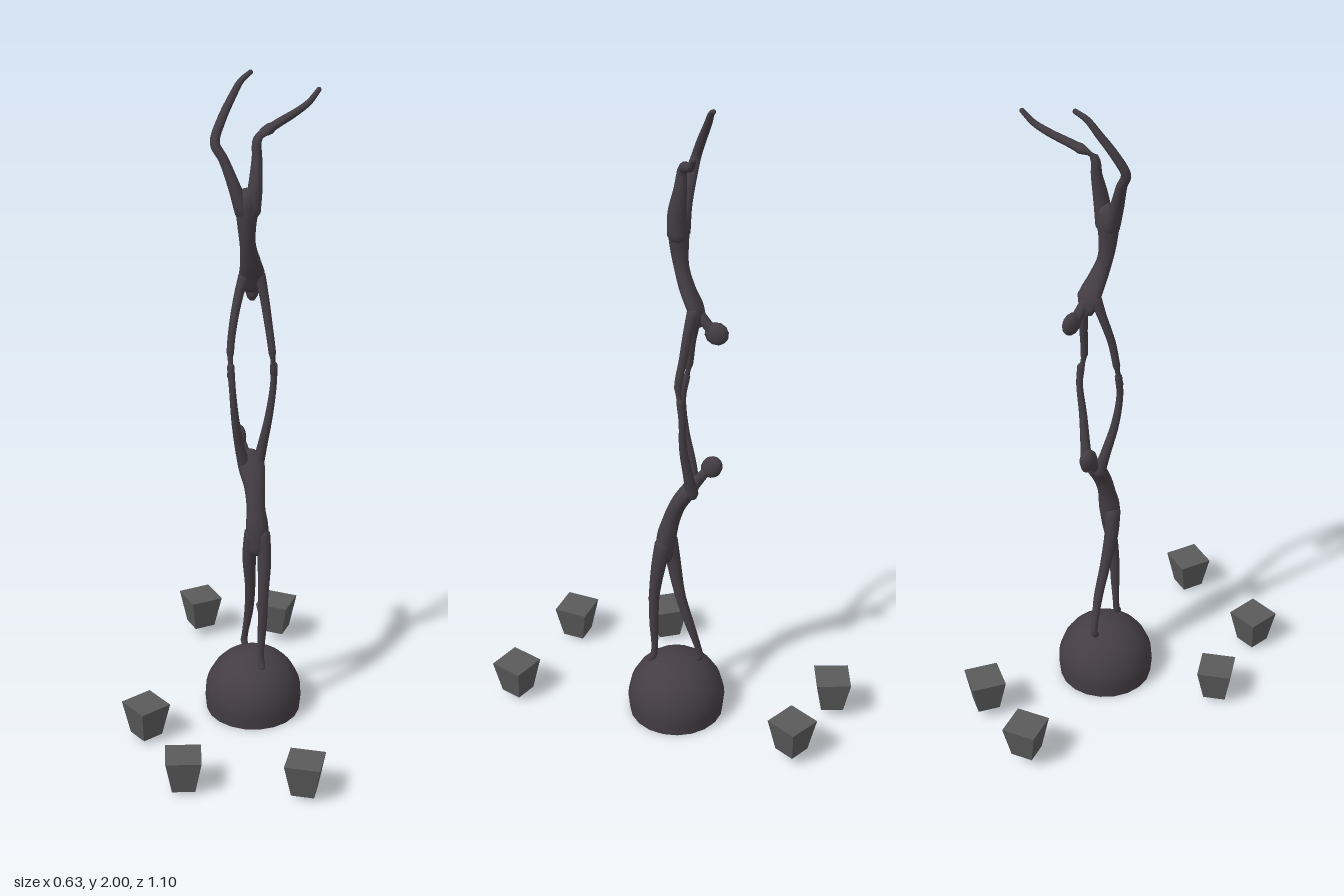
import * as THREE from 'three';

const figureMat = new THREE.MeshStandardMaterial({ color: 0x443e44, side: THREE.DoubleSide });
figureMat.name = 'dark bronze';
const blockMat = new THREE.MeshStandardMaterial({ color: 0x5a5a5a });
blockMat.name = 'grey stone';

// Limb swept through points [x, y, z, halfWidth, halfDepth], closed with rounded ends.
function limb(name, pts, sides = 10) {
  const path = new THREE.CatmullRomCurve3(pts.map(p => new THREE.Vector3(p[0], p[1], p[2])));
  const size = new THREE.CatmullRomCurve3(pts.map(p => new THREE.Vector3(p[3], p[4] ?? p[3], 0)));
  const rings = (pts.length - 1) * 5;
  const pos = [], index = [];
  const xAxis = new THREE.Vector3(1, 0, 0);
  const ring = (u, shrink, shift) => {
    const c = path.getPoint(u), r = size.getPoint(u), t = path.getTangent(u);
    const n = xAxis.clone().addScaledVector(t, -t.x).normalize();
    const b = t.clone().cross(n);
    c.addScaledVector(t, shift * r.x);
    for (let j = 0; j < sides; j++) {
      const a = (j / sides) * Math.PI * 2;
      const v = c.clone().addScaledVector(n, Math.cos(a) * r.x * shrink)
        .addScaledVector(b, Math.sin(a) * r.y * shrink);
      pos.push(v.x, v.y, v.z);
    }
  };
  ring(0, 0.01, -0.8);
  ring(0, 0.7, -0.55);
  for (let i = 0; i <= rings; i++) ring(i / rings, 1, 0);
  ring(1, 0.7, 0.55);
  ring(1, 0.01, 0.8);
  for (let i = 0; i < rings + 4; i++) {
    for (let j = 0; j < sides; j++) {
      const k = (j + 1) % sides;
      const a = i * sides + j, b = i * sides + k, c = a + sides, d = b + sides;
      index.push(a, b, c, b, d, c);
    }
  }
  const geo = new THREE.BufferGeometry();
  geo.setAttribute('position', new THREE.Float32BufferAttribute(pos, 3));
  geo.setIndex(index);
  geo.computeVertexNormals();
  const mesh = new THREE.Mesh(geo, figureMat);
  mesh.name = name;
  return mesh;
}

function head(name, center, radii, tilt, w = 14, h = 10) {
  const mesh = new THREE.Mesh(new THREE.SphereGeometry(1, w, h), figureMat);
  mesh.name = name;
  mesh.position.set(...center);
  mesh.scale.set(...radii);
  mesh.rotation.x = tilt;
  return mesh;
}

// Standing figure with raised arms
function lowerFigure() {
  const g = new THREE.Group();
  g.name = 'standingFigure';
  g.add(
    limb('torso', [
      [0.11, 0.57, 0.018, 0.03, 0.026], [0.109, 0.64, 0.012, 0.034, 0.029],
      [0.107, 0.70, -0.002, 0.028, 0.026], [0.106, 0.76, -0.024, 0.032, 0.025],
      [0.101, 0.81, -0.055, 0.04, 0.024], [0.097, 0.84, -0.074, 0.026, 0.018]]),
    limb('neck', [[0.092, 0.82, -0.065, 0.017], [0.077, 0.87, -0.1, 0.014]]),
    head('head', [0.073, 0.883, -0.115], [0.02, 0.037, 0.031], -0.5),
    limb('frontLeg', [
      [0.126, 0.62, 0.018, 0.022, 0.026], [0.129, 0.54, 0.032, 0.021, 0.022],
      [0.124, 0.42, 0.048, 0.016], [0.122, 0.32, 0.05, 0.014], [0.118, 0.22, 0.05, 0.01],
      [0.119, 0.19, 0.055, 0.011], [0.121, 0.18, 0.064, 0.009]]),
    limb('backLeg', [
      [0.092, 0.62, 0.01, 0.022, 0.026], [0.088, 0.54, -0.002, 0.021, 0.022],
      [0.095, 0.42, -0.026, 0.016], [0.096, 0.32, -0.056, 0.014], [0.088, 0.22, -0.083, 0.01],
      [0.086, 0.195, -0.086, 0.011], [0.087, 0.185, -0.078, 0.01]]),
    limb('rightArm', [
      [0.08, 0.81, -0.062, 0.019], [0.064, 0.88, -0.05, 0.015], [0.047, 0.98, -0.026, 0.012],
      [0.037, 1.08, -0.016, 0.01], [0.033, 1.15, -0.026, 0.011]]),
    limb('leftArm', [
      [0.122, 0.81, -0.07, 0.019], [0.135, 0.88, -0.062, 0.015], [0.152, 0.98, -0.052, 0.012],
      [0.164, 1.08, -0.052, 0.01], [0.163, 1.14, -0.046, 0.011]]));
  return g;
}

// Inverted figure balanced hand to hand
function upperFigure() {
  const g = new THREE.Group();
  g.name = 'handstandFigure';
  g.add(
    limb('torso', [
      [0.1, 1.375, -0.082, 0.028, 0.018], [0.1, 1.41, -0.072, 0.038, 0.022],
      [0.092, 1.46, -0.047, 0.03, 0.022], [0.081, 1.52, -0.026, 0.023, 0.021],
      [0.077, 1.58, -0.018, 0.027, 0.026], [0.078, 1.64, -0.017, 0.034, 0.03],
      [0.08, 1.67, -0.018, 0.026, 0.026]]),
    limb('neck', [[0.104, 1.4, -0.08, 0.016], [0.109, 1.352, -0.122, 0.015]]),
    head('head', [0.11, 1.345, -0.136], [0.02, 0.035, 0.035], 0.7, 10, 6),
    limb('rightLeg', [
      [0.066, 1.62, -0.018, 0.024, 0.028], [0.042, 1.69, -0.02, 0.018, 0.024],
      [0.012, 1.77, -0.032, 0.014, 0.018], [-0.011, 1.815, -0.04, 0.014],
      [0.008, 1.87, -0.06, 0.013], [0.045, 1.935, -0.088, 0.011],
      [0.07, 1.972, -0.103, 0.009], [0.1, 1.993, -0.118, 0.007]]),
    limb('leftLeg', [
      [0.092, 1.62, -0.016, 0.024, 0.028], [0.1, 1.69, -0.018, 0.021, 0.026],
      [0.106, 1.77, -0.03, 0.015, 0.018], [0.109, 1.825, -0.036, 0.013],
      [0.155, 1.852, -0.058, 0.013], [0.225, 1.882, -0.09, 0.011],
      [0.265, 1.905, -0.108, 0.009], [0.295, 1.937, -0.122, 0.007]]),
    limb('rightArm', [
      [0.078, 1.41, -0.07, 0.018], [0.062, 1.36, -0.063, 0.014], [0.042, 1.27, -0.044, 0.012],
      [0.033, 1.19, -0.034, 0.011], [0.033, 1.12, -0.02, 0.011]]),
    limb('leftArm', [
      [0.122, 1.41, -0.072, 0.018], [0.133, 1.36, -0.062, 0.014], [0.146, 1.27, -0.05, 0.012],
      [0.157, 1.18, -0.038, 0.011], [0.164, 1.11, -0.05, 0.011]]));
  return g;
}

// Tapered block, wider at the top
function blockGeometry() {
  const geo = new THREE.BoxGeometry(0.105, 0.106, 0.105);
  const p = geo.attributes.position;
  for (let i = 0; i < p.count; i++) {
    if (p.getY(i) < 0) p.setXYZ(i, p.getX(i) * 0.65, p.getY(i), p.getZ(i) * 0.65);
  }
  geo.computeVertexNormals();
  return geo;
}

export function createModel() {
  const model = new THREE.Group();
  model.name = 'balancingSculpture';

  // Hollow dome base, open underneath
  const profile = [new THREE.Vector2(0.145, 0)];
  for (let i = 0; i <= 10; i++) {
    const a = (i / 10) * Math.PI / 2;
    profile.push(new THREE.Vector2(Math.max(0.15 * Math.cos(a), 0), 0.05 + 0.15 * Math.sin(a)));
  }
  const dome = new THREE.Mesh(new THREE.LatheGeometry(profile, 20), figureMat);
  dome.name = 'domeBase';
  dome.position.set(0.105, 0, -0.016);
  model.add(dome, lowerFigure(), upperFigure());

  // Blocks around the dome: x, top height, z, turn in degrees
  const geo = blockGeometry();
  [[-0.003, 0.141, -0.487, 18], [0.241, 0.141, -0.42, -29], [-0.244, 0.119, 0.121, 31],
    [-0.162, 0.114, 0.405, -6], [0.184, 0.12, 0.484, -20]].forEach(([x, top, z, turn], i) => {
    const block = new THREE.Mesh(geo, blockMat);
    block.name = 'taperedBlock' + (i + 1);
    block.position.set(x, top - 0.053, z);
    block.rotation.y = THREE.MathUtils.degToRad(turn);
    model.add(block);
  });
  return model;
}
